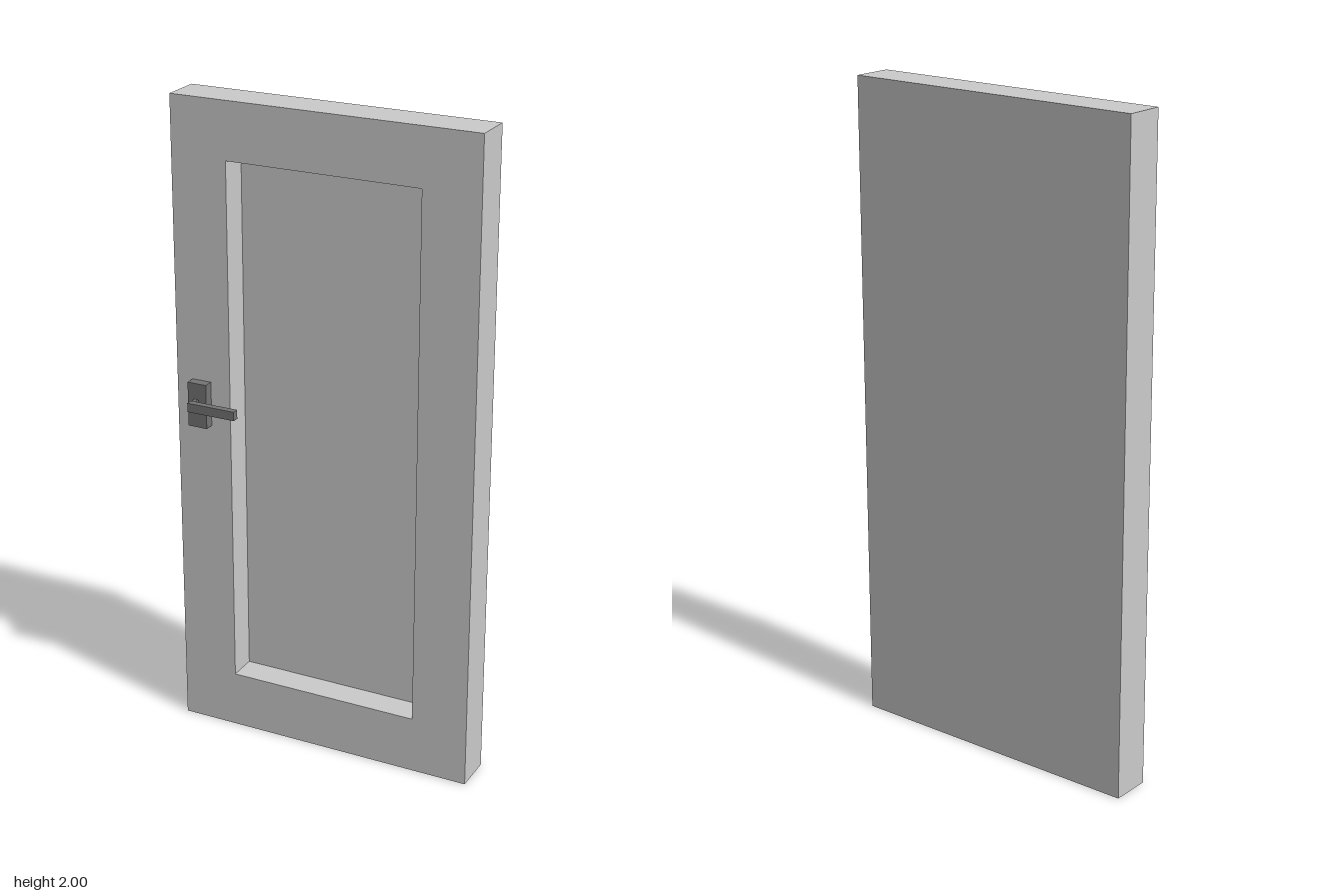
import * as THREE from 'three';

const BACK = -0.098, FRONT = 0.026, RECESS = 0.09;

export function createModel() {
  const group = new THREE.Group();
  group.name = 'door';
  const doorMat = new THREE.MeshStandardMaterial({ color: 0xcccccc });
  const handleMat = new THREE.MeshStandardMaterial({ color: 0x757575 });

  const add = (name, geometry, material, parent) => {
    const mesh = new THREE.Mesh(geometry, material);
    mesh.name = name;
    parent.add(mesh);
    return mesh;
  };
  // Box given by its lower and upper corners
  const box = (name, a, b, material, parent) => {
    const size = b.map((v, i) => v - a[i]);
    const mesh = add(name, new THREE.BoxGeometry(...size), material, parent);
    mesh.position.set(...a.map((v, i) => (v + b[i]) / 2));
  };
  const corners = (x, y0, y1) => [[-x, y0], [x, y0], [x, y1], [-x, y1]].map(p => new THREE.Vector2(...p));

  // Door slab: a closed back with a raised frame around the recessed panel
  const outline = new THREE.Shape(corners(0.48, 0, 2));
  outline.holes.push(new THREE.Path(corners(0.303, 0.178, 1.826).reverse()));
  const frame = new THREE.ExtrudeGeometry(outline, { depth: RECESS, bevelEnabled: false });
  add('frame', frame, doorMat, group).position.z = FRONT - RECESS;
  box('recessedPanel', [-0.48, 0, BACK], [0.48, 2, FRONT - RECESS], doorMat, group);

  // Lever handle on the front
  const handle = new THREE.Group();
  handle.name = 'handle';
  group.add(handle);
  box('handlePlate', [-0.429, 1.007, FRONT], [-0.367, 1.146, 0.056], handleMat, handle);
  box('handleStem', [-0.407, 1.072, 0.056], [-0.394, 1.096, 0.077], handleMat, handle);
  box('handleLever', [-0.407, 1.07, 0.077], [-0.251, 1.098, 0.098], handleMat, handle);

  return group;
}
